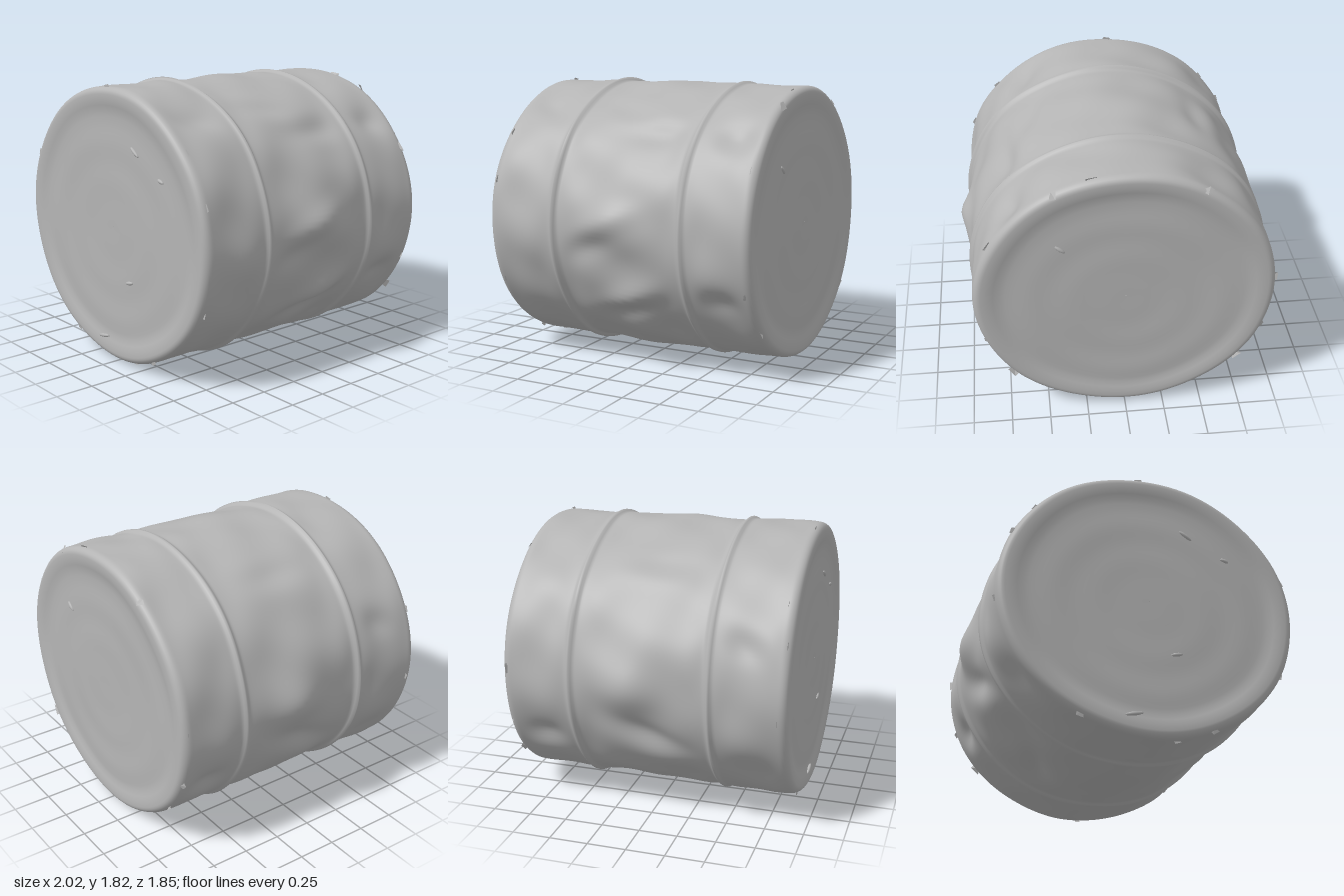
import * as THREE from 'three';

const RX = 0.965, RY = 0.9, CY = 0.917;   // slightly squashed drum lying along z
const FRONT = 0.912, BACK = -0.918, ROUND = 0.05;
const RIBS = [0.42, -0.465];
const SEG = 180;

const bell = (t, w) => Math.exp(-(t * t) / (w * w));
const wrap = (a) => Math.atan2(Math.sin(a), Math.cos(a));

// Main dents and ridges: angle, z, height, slant
const DENTS = [
  [0.06, 0.05, 0.03, -0.4],
  [-0.1, 0.15, -0.025, -0.4],
  [-0.48, -0.08, 0.035, -0.4],
  [-0.62, -0.08, -0.04, -0.4],
  [-0.46, -0.68, -0.03, 0],
  [0.75, -0.2, -0.04, 0],
  [0.98, 0.1, -0.03, 0.3],
  [2.2, 0, -0.03, 0],
  [0.95, 0.65, -0.03, 0.2],
  [0.75, -0.72, -0.03, 0],
  [2.75, 0.62, -0.025, 0.3],
  [3.5, 0.05, -0.04, 0.4],
  [3.6, -0.68, -0.035, 0],
  [4.2, -0.1, -0.03, -0.3],
];

// Crumpled side wall: radius factor, calm near the stiff ribs and rims
function wallRadius(a, z) {
  const stiff = [...RIBS, FRONT, BACK].reduce((k, s) => k * (1 - bell(z - s, 0.1)), 1);
  let d = 0.012 * bell(z + 0.03, 0.2) + 0.008 * Math.sin(9 * a + 3 * z)
    + 0.005 * Math.sin(14 * a - 7 * z + 1) + 0.004 * Math.sin(5 * a + 15 * z);
  // Matching bulges on the two sides
  d += 0.04 * bell(Math.sin(a), 0.16) * bell(z + 0.08, 0.2);
  for (const [da, dz, height, slant] of DENTS) {
    const length = Math.abs(dz) > 0.5 ? 0.13 : 0.22;
    d += height * bell(wrap(a - da - slant * (z - dz)), 0.1) * bell(z - dz, length);
  }
  let r = (z > RIBS[0] ? 0.988 : 0.978) + d * stiff + 0.003 * Math.sin(7 * a + 6 * z);
  for (const s of RIBS) r += 0.022 * bell(z - s - 0.006 * Math.sin(4 * a + s), 0.018);
  return r;
}

// Rows of one end, from the disc centre out to the rounded rim
function endRows(z, side) {
  const rows = [];
  for (let i = 0; i <= 24; i++) {
    const s = 0.002 + 0.946 * i / 24;
    const recess = 0.018 * (1 - THREE.MathUtils.smoothstep(s, 0.82, 0.92));
    rows.push({ s, z: z - side * recess, side });
  }
  for (let i = 1; i <= 6; i++) {
    const q = i / 6 * Math.PI / 2;
    rows.push({ s: 0.95 + ROUND * Math.sin(q), z: z - side * ROUND * (1 - Math.cos(q)), side: 0 });
  }
  return rows;
}

// Closed shell: front disc, side wall, back disc
function drumGeometry() {
  const wall = [], pos = [], index = [];
  for (let i = 1; i < 150; i++) {
    wall.push({ s: 1, z: THREE.MathUtils.lerp(FRONT - ROUND, BACK + ROUND, i / 150), side: 0 });
  }
  const rows = [...endRows(FRONT, 1), ...wall, ...endRows(BACK, -1).reverse()];
  rows.forEach(({ s, z, side }, i) => {
    for (let j = 0; j < SEG; j++) {
      const a = j / SEG * Math.PI * 2;
      const r = s * wallRadius(a, z);
      const x = RX * r * Math.cos(a), y = RY * r * Math.sin(a);
      // Shallow pressed waves on the end discs
      const wave = side * (1 - bell(s - 0.95, 0.12)) *
        (0.004 * Math.sin(5 * x + 2 * y) * Math.cos(4 * y) + 0.003 * Math.sin(22 * s + Math.sin(a)) * s);
      pos.push(x, CY + y, z + wave);
      if (i < rows.length - 1) {
        const k = (j + 1) % SEG, p = i * SEG, q = p + SEG;
        index.push(p + j, q + j, p + k, q + j, q + k, p + k);
      }
    }
  });
  const g = new THREE.BufferGeometry();
  g.setAttribute('position', new THREE.Float32BufferAttribute(pos, 3));
  g.setIndex(index);
  g.computeVertexNormals();
  return g;
}

// Small torn flakes of metal scattered around both rims
function flakeGeometry() {
  const pos = [];
  for (let n = 0; n < 20; n++) {
    const a = Math.floor(n / 2) * Math.PI / 5 + 0.25 * Math.sin(n * 2.3) + 0.3;
    const z = (n % 2 ? -0.89 : 0.87) + 0.02 * Math.sin(n * 1.7);
    const size = 0.05 + 0.01 * Math.sin(n * 3.1);
    const lean = 0.4 * Math.sin(n * 4.7);
    const at = (da, dz, lift) => {
      const r = wallRadius(a, z) + lift;
      return [RX * r * Math.cos(a + da), CY + RY * r * Math.sin(a + da), z + dz];
    };
    const A = at(-size / 2, 0, -0.03), B = at(size / 2, -lean * size, -0.03);
    const C = at(lean * size, lean * size * 0.6, 0.016), D = at(size, lean * size * 0.3, 0.008);
    pos.push(...A, ...B, ...C, ...B, ...D, ...C);
  }
  const g = new THREE.BufferGeometry();
  g.setAttribute('position', new THREE.Float32BufferAttribute(pos, 3));
  g.computeVertexNormals();
  return g;
}

export function createModel() {
  const steel = new THREE.MeshStandardMaterial({ color: 0xb4b4b4, side: THREE.DoubleSide });
  steel.name = 'greySteel';

  const group = new THREE.Group();
  group.name = 'dentedDrum';
  const add = (name, geometry) => {
    const mesh = new THREE.Mesh(geometry, steel);
    mesh.name = name;
    group.add(mesh);
    return mesh;
  };

  add('drumShell', drumGeometry());
  add('tornFlakes', flakeGeometry());

  // Raised nicks on the end discs: x, y, half length, tilt, z
  const nicks = [
    [0.25, 1.43, 0.05, -0.6, 0.896],
    [0.51, 1.29, 0.03, -0.3, 0.896],
    [0.17, 0.58, 0.04, 0.2, 0.896],
    [-0.11, 0.16, 0.06, 0.2, 0.908],
    [0.4, 1.3, 0.04, 0.7, -0.902],
  ];
  const nickGeometry = new THREE.SphereGeometry(1, 10, 6);
  for (const [x, y, length, tilt, z] of nicks) {
    const nick = add('endNick', nickGeometry);
    nick.scale.set(length, 0.012, 0.012);
    nick.rotation.z = tilt;
    nick.position.set(x, y, z);
  }
  return group;
}
